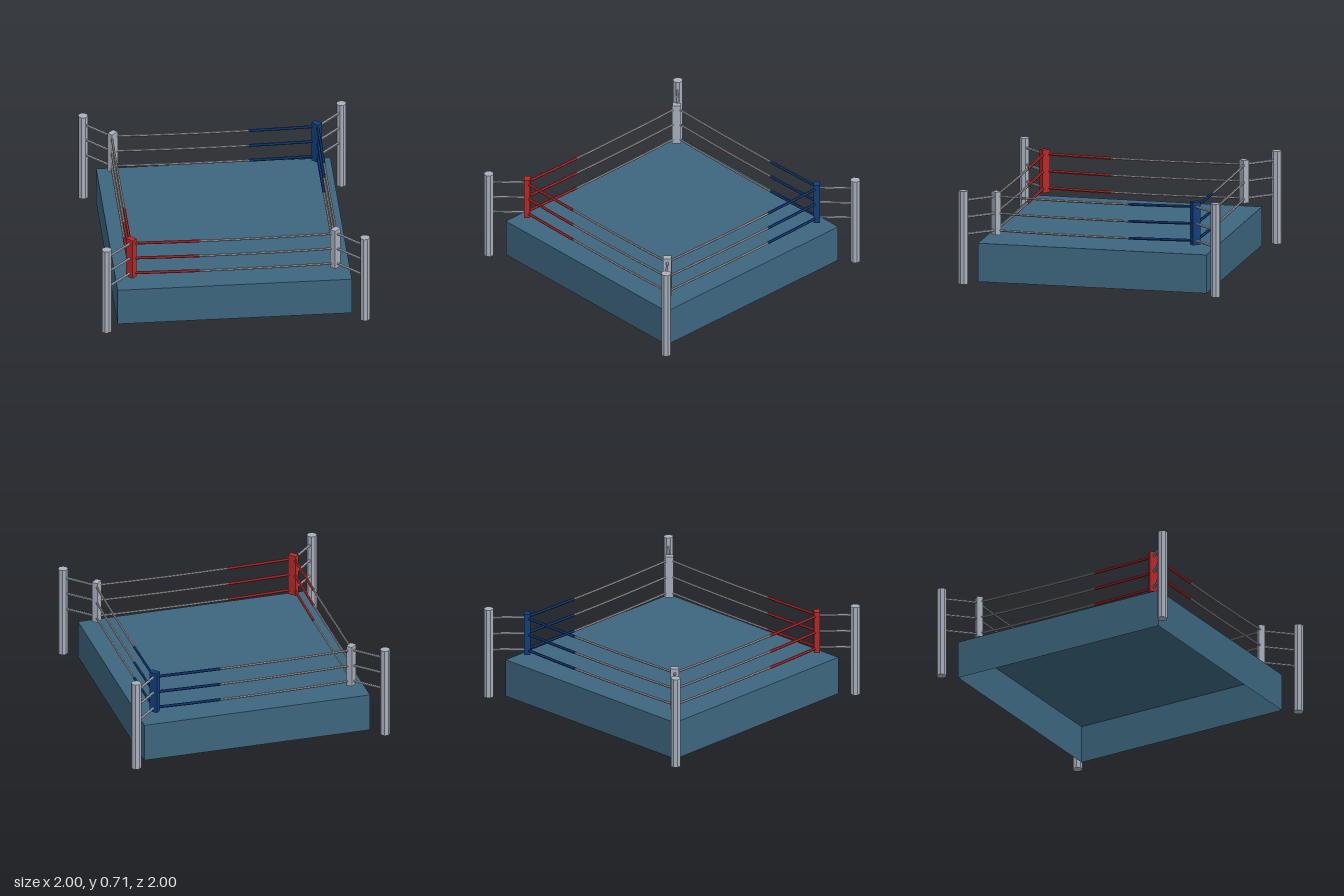
import * as THREE from 'three';

const material = (name, color, extra = {}) => {
  const m = new THREE.MeshStandardMaterial({ color, flatShading: true, ...extra });
  m.name = name;
  return m;
};

export function createModel() {
  const mats = {
    canvas: material('canvas blue', 0x3d667f, { side: THREE.DoubleSide }),
    steel: material('steel grey', 0xa9b0bd),
    rope: material('rope grey', 0xa19d9f, { side: THREE.DoubleSide }),
    red: material('corner red', 0xb52a2a, { side: THREE.DoubleSide }),
    blue: material('corner blue', 0x113e7a, { side: THREE.DoubleSide }),
  };
  const ring = new THREE.Group();
  ring.name = 'boxingRing';
  const add = (parent, name, geometry, mat) => {
    const mesh = new THREE.Mesh(geometry, mat);
    mesh.name = name;
    parent.add(mesh);
    return mesh;
  };

  // Platform: thin shell, open underneath
  const half = 0.875, top = 0.293;
  add(ring, 'platformTop',
    new THREE.PlaneGeometry(2 * half, 2 * half).rotateX(-Math.PI / 2).translate(0, top, 0), mats.canvas);
  for (let i = 0; i < 4; i++) {
    add(ring, 'platformSkirt',
      new THREE.PlaneGeometry(2 * half, top).translate(0, top / 2, half).rotateY(i * Math.PI / 2), mats.canvas);
  }

  const levels = [0.376, 0.505, 0.634];

  // Corners, built along local +z and turned onto the diagonals
  const postDist = 0.965 * Math.SQRT2, padDist = 0.7625 * Math.SQRT2;
  const padColours = [mats.steel, mats.blue, mats.steel, mats.red];
  padColours.forEach((padMat, i) => {
    const corner = new THREE.Group();
    corner.name = 'corner';
    corner.rotation.y = Math.PI / 4 + i * Math.PI / 2;
    ring.add(corner);
    // Octagonal post
    const post = new THREE.CylinderGeometry(0.038, 0.038, 0.707, 8).rotateY(Math.PI / 8);
    add(corner, 'cornerPost', post.translate(0, 0.3535, postDist), mats.steel);
    // Corner pad
    add(corner, 'cornerPad',
      new THREE.BoxGeometry(0.065, 0.327, 0.047).translate(0, 0.507, padDist), padMat);
    // Braces from pad to post
    const length = postDist - padDist;
    for (const y of levels) {
      const brace = new THREE.CylinderGeometry(0.01, 0.01, length, 6).rotateX(Math.PI / 2);
      add(corner, 'brace', brace.translate(0, y, padDist + length / 2), mats.steel);
    }
  });

  // Sagging ropes: a coloured sleeve over one third, bare rope for the rest
  const span = 0.765, sag = 0.01;
  const ropePiece = (x0, x1, y, segments, radius) => {
    const points = [];
    for (let k = 0; k <= segments; k++) {
      const x = x0 + (x1 - x0) * k / segments;
      points.push(new THREE.Vector3(x, y - sag * (1 - (x / span) ** 2), 0.77));
    }
    return new THREE.TubeGeometry(new THREE.CatmullRomCurve3(points), segments, radius, 6);
  };
  [mats.red, mats.blue, mats.blue, mats.red].forEach((sleeveMat, i) => {
    const side = new THREE.Group();
    side.name = 'ropeSide';
    side.rotation.y = i * Math.PI / 2;
    ring.add(side);
    const end = i % 2 ? span : -span;
    for (const y of levels) {
      add(side, 'ropeSleeve', ropePiece(end, end / 3, y, 2, 0.011), sleeveMat);
      add(side, 'rope', ropePiece(end / 3, -end, y, 4, 0.009), mats.rope);
    }
  });

  return ring;
}
